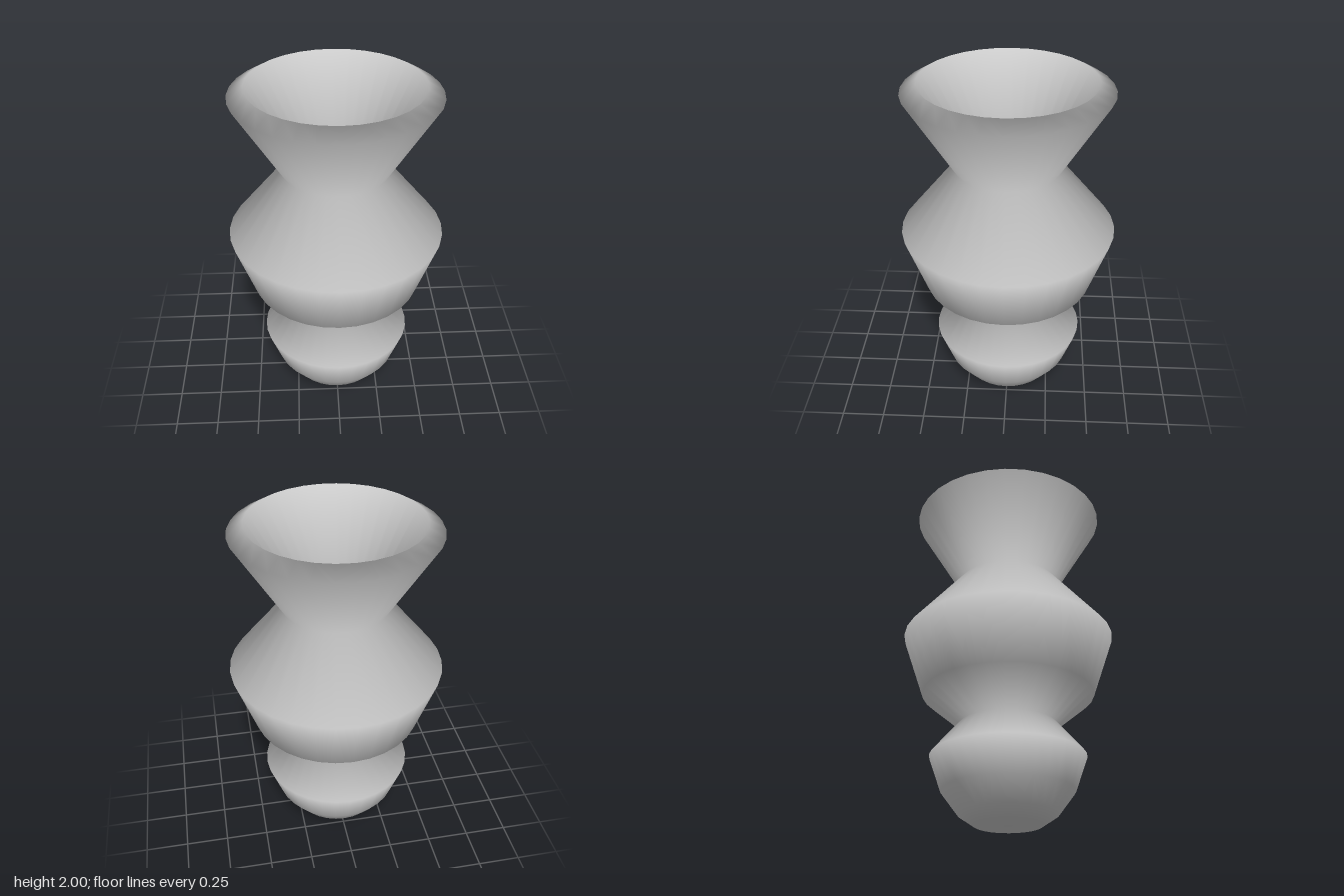
import * as THREE from 'three';

const WALL = 0.105; // wall thickness
const SIDES = 32;

// Outer silhouette from the foot to the lip: [radius, height]
const OUTER = [
  [0, 0], [0.19, 0], [0.28, 0.06], [0.375, 0.185], [0.445, 0.38],
  [0.285, 0.57], [0.5, 0.75], [0.622, 1.105], [0.305, 1.495], [0.576, 1.947],
].map(([r, y]) => new THREE.Vector2(r, y));

// Inward normal of the segment from a to b
const inward = (a, b) => new THREE.Vector2(a.y - b.y, b.x - a.x).normalize();

// Moves every profile point inward along its averaged normal
function offsetProfile(points, distance) {
  const last = points.length - 1;
  return points.map((p, i) => {
    if (i === 0) return new THREE.Vector2(0, p.y + distance);
    const n = inward(points[i - 1], p);
    if (i < last) n.add(inward(p, points[i + 1])).normalize();
    return new THREE.Vector2(p.x + n.x * distance, p.y + n.y * distance);
  });
}

export function createModel() {
  const group = new THREE.Group();
  group.name = 'vase';

  // Up the outside, over the slanted lip and down the inside
  const inner = offsetProfile(OUTER, WALL);
  inner[inner.length - 1].y = 2;
  const profile = [...OUTER, ...inner.reverse()];

  const body = new THREE.Mesh(
    new THREE.LatheGeometry(profile, SIDES),
    new THREE.MeshStandardMaterial({ color: 0xcccccc })
  );
  body.name = 'vaseBody';
  group.add(body);
  return group;
}
